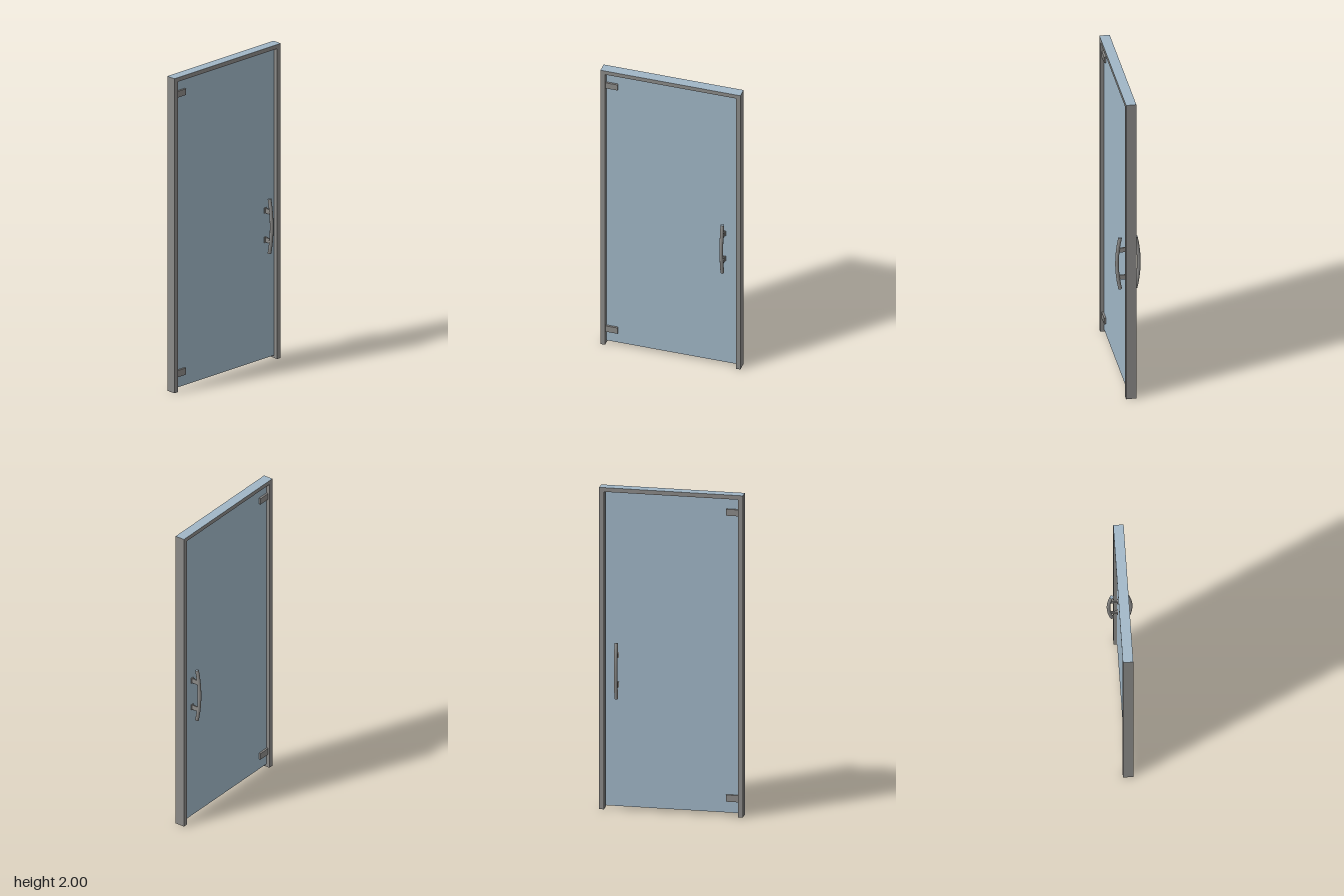
import * as THREE from 'three';

export function createModel() {
  const model = new THREE.Group();
  model.name = 'glassDoor';

  const metal = new THREE.MeshStandardMaterial({ color: 0x8b8a88 });
  metal.name = 'brushed metal';
  const glass = new THREE.MeshStandardMaterial({ color: 0xa0b6c6 });
  glass.name = 'blue glass';
  // box faces run +x, -x, +y, -y, +z, -z: metal with a blue top
  const blueTop = [metal, metal, glass, metal, metal, metal];

  // box given by its lower and upper limits
  function box(name, [x0, x1], [y0, y1], [z0, z1], material, parent = model) {
    const mesh = new THREE.Mesh(new THREE.BoxGeometry(x1 - x0, y1 - y0, z1 - z0), material);
    mesh.position.set((x0 + x1) / 2, (y0 + y1) / 2, (z0 + z1) / 2);
    mesh.name = name;
    parent.add(mesh);
    return mesh;
  }

  // frame: two jambs and a header
  const depth = [-0.031, 0.031];
  box('rightJamb', [-0.437, -0.408], [0, 2], depth, blueTop);
  box('leftJamb', [0.408, 0.437], [0, 2], depth, blueTop);
  box('header', [-0.408, 0.408], [1.974, 2], depth, blueTop);

  // glass leaf, with a small clearance to the frame
  box('glassPanel', [-0.406, 0.403], [0.02, 1.97], [-0.01, 0.01], glass);

  // hinge clamps wrapping the glass on both faces
  box('lowerHinge', [-0.408, -0.333], [0.09, 0.132], [-0.022, 0.022], metal);
  box('upperHinge', [-0.408, -0.333], [1.868, 1.908], [-0.022, 0.022], metal);

  // bowed pull handles, one on each face
  const handleX = 0.329, radius = 0.011;
  for (const side of [1, -1]) {
    const handle = new THREE.Group();
    handle.name = side > 0 ? 'frontHandle' : 'backHandle';
    model.add(handle);

    const points = [];
    for (let i = 0; i <= 8; i++) {
      const t = i / 4 - 1;
      points.push(new THREE.Vector3(handleX, 0.87 + 0.173 * t, side * (0.066 - 0.019 * t * t)));
    }
    const curve = new THREE.CatmullRomCurve3(points);
    const grip = new THREE.Mesh(new THREE.TubeGeometry(curve, 24, radius, 16), metal);
    grip.name = 'grip';
    handle.add(grip);

    // end caps square to the bow
    for (const end of [0, 1]) {
      const cap = new THREE.Mesh(new THREE.CircleGeometry(radius, 16), end ? glass : metal);
      const outward = curve.getTangent(end).multiplyScalar(end ? 1 : -1);
      cap.quaternion.setFromUnitVectors(new THREE.Vector3(0, 0, 1), outward);
      cap.position.copy(curve.getPoint(end));
      cap.name = end ? 'topCap' : 'bottomCap';
      handle.add(cap);
    }

    // flat standoffs with small base plates on the glass
    for (const y of [0.775, 0.96]) {
      const span = (a, b) => (side > 0 ? [a, b] : [-b, -a]);
      box('standoff', [0.326, 0.334], [y - 0.015, y + 0.015], span(0.01, 0.06), metal, handle);
      box('basePlate', [0.319, 0.339], [y - 0.018, y + 0.018], span(0.01, 0.015), metal, handle);
    }
  }

  return model;
}
